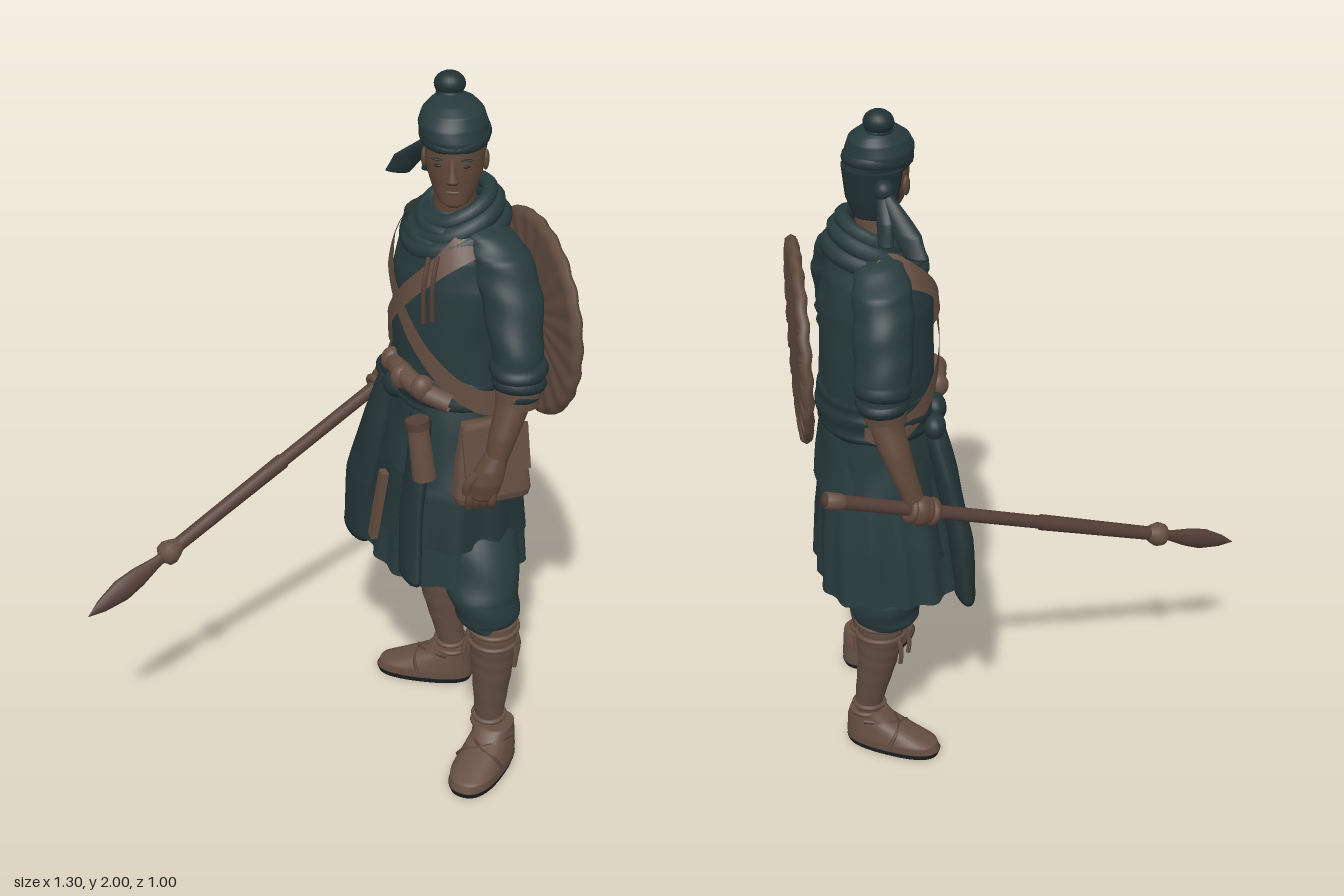
import * as THREE from 'three';

const mat = (name, color, side = THREE.FrontSide) => Object.assign(new THREE.MeshStandardMaterial({ color, side }), { name });

export function createModel() {
  const root = new THREE.Group();
  const D = THREE.DoubleSide;
  const cloth = mat('dark teal cloth', 0x283a3c, D), deep = mat('deep teal cloth', 0x243436, D);
  const leather = mat('brown leather', 0x644e42, D), wrap = mat('leg wrap', 0x604c41);
  const skin = mat('skin', 0x5f473a), wood = mat('spear wood', 0x543f36);
  const shieldMat = mat('shield hide', 0x624d41), hair = mat('hair', 0x203032), dark = mat('dark sole', 0x1e1f20);

  const add = (name, geo, m, parent = root, pos = [0, 0, 0], rot = [0, 0, 0], scale = [1, 1, 1]) => {
    const mesh = new THREE.Mesh(geo, m);
    mesh.name = name;
    mesh.position.set(...pos); mesh.rotation.set(...rot); mesh.scale.set(...scale);
    parent.add(mesh);
    return mesh;
  };
  const ball = (name, m, parent, pos, r, scale, rot) =>
    add(name, new THREE.SphereGeometry(r, 20, 14), m, parent, pos, rot, scale);
  const ring = (name, m, parent, pos, r, t, tilt = 0, scale = [1, 1, 1]) =>
    add(name, new THREE.TorusGeometry(r, t, 8, 28), m, parent, pos, [Math.PI / 2 + tilt, 0, 0], scale);
  const rope = (name, m, parent, pts, r) =>
    add(name, new THREE.TubeGeometry(new THREE.CatmullRomCurve3(pts.map(p => new THREE.Vector3(...p))), 20, r, 8), m, parent);

  // Skin over stacked ellipses [y, x, z, rx, rz], bottom to top; fold(a, t) scales the radius
  function loft(name, m, sections, parent = root, { rows = 24, seg = 40, fold = () => 1, open = false } = {}) {
    const n = sections.length - 1, pos = [], idx = [];
    for (let i = 0; i <= rows; i++) {
      const t = i / rows, k = Math.min(n - 1, Math.floor(t * n)), f = t * n - k;
      const [y, x, z, rx, rz] = sections[k].map((v, q) => THREE.MathUtils.lerp(v, sections[k + 1][q], f));
      for (let j = 0; j < seg; j++) {
        const a = j / seg * Math.PI * 2, s = fold(a, t);
        pos.push(x + rx * s * Math.sin(a), y, z + rz * s * Math.cos(a));
        if (i < rows) {
          const p = i * seg + j, q = i * seg + (j + 1) % seg;
          idx.push(p, q, q + seg, p, q + seg, p + seg);
        }
      }
    }
    if (!open) {
      const lo = pos.length / 3, a = sections[0], b = sections[n];
      pos.push(a[1], a[0], a[2], b[1], b[0], b[2]);
      for (let j = 0; j < seg; j++) {
        const j2 = (j + 1) % seg;
        idx.push(lo, j2, j, lo + 1, rows * seg + j, rows * seg + j2);
      }
    }
    const g = new THREE.BufferGeometry();
    g.setAttribute('position', new THREE.Float32BufferAttribute(pos, 3));
    g.setIndex(idx);
    g.computeVertexNormals();
    return add(name, g, m, parent);
  }
  const square = (a, e) => Math.pow(Math.abs(Math.sin(a)) ** e + Math.abs(Math.cos(a)) ** e, -1 / e);
  const creases = (k, amp) => ({ rows: 40, fold: (a, t) => 1 + amp * Math.sin(k * t + 2 * Math.sin(a)) + amp * 0.5 * Math.sin(3 * a + 9 * t) });
  const pleats = (n, amp) => ({ rows: 24, seg: 120, open: true, fold: (a, t) => square(a, 2.6) * (1 + amp * (1 - t) * (Math.sin(n * a) + 0.5 * Math.sin(5 * a + 1))) });

  // Turned body: jacket, skirt, belt and gear
  const body = new THREE.Group();
  body.name = 'body';
  body.position.set(0.295, 0, -0.04);
  body.rotation.y = -1.05;
  root.add(body);
  const torso = [[0.88, 0.015, 0.018, 0.25, 0.187], [1.0, 0.01, 0.015, 0.222, 0.17], [1.12, 0.003, 0.015, 0.197, 0.16], [1.3, 0, 0.02, 0.2, 0.16],
    [1.45, 0, 0.02, 0.205, 0.157], [1.54, 0, 0.02, 0.185, 0.135], [1.6, 0, 0.02, 0.135, 0.105], [1.64, 0.005, 0.02, 0.08, 0.075]];
  loft('jacket', cloth, torso, body, { rows: 49, seg: 64, open: true, fold: (a, t) => 1 + 0.01 * Math.sin(26 * t + 3 * Math.sin(a * 2)) + 0.018 * (1 - t) * Math.sin(9 * a) });
  loft('skirt', cloth, [[0.58, 0, 0.035, 0.262, 0.21], [0.75, 0, 0.028, 0.242, 0.195], [0.9, 0, 0.018, 0.215, 0.17], [1.05, 0, 0.01, 0.18, 0.145]], body, pleats(16, 0.035));
  loft('overskirt', deep, [[0.7, 0.015, 0.035, 0.252, 0.202], [0.85, 0.012, 0.025, 0.23, 0.183], [1.0, 0, 0.015, 0.192, 0.155]], body, pleats(11, 0.03));
  loft('waistSash', deep, [[1.08, 0, 0.015, 0.2, 0.165], [1.11, 0, 0.015, 0.207, 0.172], [1.16, 0, 0.015, 0.207, 0.172], [1.2, 0, 0.015, 0.198, 0.162]], body, creases(16, 0.015));
  loft('sashTail', deep, [[0.56, -0.17, 0.24, 0.085, 0.03], [0.75, -0.155, 0.228, 0.085, 0.035], [0.95, -0.13, 0.192, 0.065, 0.035], [1.1, -0.1, 0.16, 0.04, 0.03]], body, creases(10, 0.05));
  loft('frontPanel', deep, [[0.61, 0.19, 0.21, 0.07, 0.022], [0.8, 0.155, 0.19, 0.062, 0.025], [1.08, 0.11, 0.15, 0.05, 0.025]], body, creases(8, 0.04));
  for (let i = 0; i < 3; i++) ball('sashKnot', deep, body, [-0.13 + i * 0.05, 1.1 + (i % 2) * 0.035, 0.16 + i * 0.008], 0.042, [1.1, 0.9, 0.8]);

  // Crossing ribbons over the front of the jacket
  function strap(name, phase, off) {
    const pos = [], idx = [], N = 48;
    for (let j = 0; j <= N; j++) {
      const a = THREE.MathUtils.lerp(-1.9, 1.9, j / N), y0 = 1.36 + 0.23 * Math.cos(a - phase);
      for (const y of [y0 - 0.036, y0 + 0.036]) {
        const k = Math.max(0, torso.findIndex((s, i) => i + 1 < torso.length && y <= torso[i + 1][0]));
        const f = (y - torso[k][0]) / (torso[k + 1][0] - torso[k][0]), mix = q => THREE.MathUtils.lerp(torso[k][q], torso[k + 1][q], f);
        pos.push(mix(1) + (mix(3) + off) * Math.sin(a), y, mix(2) + (mix(4) + off) * Math.cos(a));
      }
      if (j < N) idx.push(2 * j, 2 * j + 2, 2 * j + 3, 2 * j, 2 * j + 3, 2 * j + 1);
    }
    const g = new THREE.BufferGeometry();
    g.setAttribute('position', new THREE.Float32BufferAttribute(pos, 3));
    g.setIndex(idx);
    g.computeVertexNormals();
    add(name, g, leather, body);
  }
  strap('leftStrap', 1.6, 0.014);
  strap('rightStrap', -1.3, 0.018);

  // Belt gear
  rope('beltRoll', leather, body, [[-0.03, 1.17, 0.18], [0.05, 1.185, 0.19], [0.14, 1.165, 0.165], [0.2, 1.14, 0.1]], 0.028);
  for (const [x, z] of [[-0.035, 0.183], [0.07, 0.193], [0.15, 0.165]]) ball('beltKnot', leather, body, [x, 1.175, z], 0.036, [0.8, 1, 0.9]);
  add('flask', new THREE.CylinderGeometry(0.029, 0.033, 0.16, 16), leather, body, [0.19, 1.0, 0.18], [0.1, 0, 0.1]);
  add('flaskCap', new THREE.CylinderGeometry(0.033, 0.033, 0.025, 16), wood, body, [0.182, 1.085, 0.188], [0.1, 0, 0.1]);
  add('knifeSheath', new THREE.BoxGeometry(0.03, 0.22, 0.02), leather, body, [0.04, 0.76, 0.248], [-0.12, 0, -0.08]);
  const satchel = new THREE.Group();
  satchel.name = 'satchel';
  satchel.position.set(0.25, 0.985, 0);
  satchel.rotation.z = 0.12;
  body.add(satchel);
  loft('satchelBag', leather, [[-0.12, 0, 0, 0.036, 0.104], [-0.1, 0, 0, 0.043, 0.11], [0, 0, 0, 0.038, 0.1], [0.11, 0, 0, 0.023, 0.081]], satchel, { fold: a => square(a, 4) });
  add('satchelFlap', new THREE.BoxGeometry(0.009, 0.13, 0.19), wrap, satchel, [0.042, 0.035, 0], [0, 0, 0.14]);
  for (const z of [0.12, 0.145]) rope('chestCord', wood, body, [[0.13, 1.55, z], [0.15, 1.48, z + 0.02], [0.15, 1.37, z + 0.02]], 0.007);

  // Round shield with a pleated rim
  const shield = new THREE.Group();
  shield.name = 'shield';
  shield.position.set(0.052, 1.305, -0.195);
  shield.rotation.x = -Math.PI / 2;
  shield.scale.x = 1.09;
  body.add(shield);
  const disc = new THREE.LatheGeometry([[0, -0.01], [0.26, -0.018], [0.28, -0.013], [0.287, 0], [0.28, 0.012], [0.25, 0.015], [0.2, 0.015], [0, 0.018]].map(p => new THREE.Vector2(...p)), 132);
  const dp = disc.attributes.position;
  for (let i = 0; i < dp.count; i++) {
    const x = dp.getX(i), z = dp.getZ(i), r = Math.hypot(x, z), a = Math.atan2(z, x);
    if (r > 0.22) dp.setY(i, dp.getY(i) + 0.0025 * Math.sin(22 * a));
  }
  disc.computeVertexNormals();
  add('shieldDisc', disc, shieldMat, shield);
  for (let i = 0; i < 22; i++) {
    const a = i / 22 * Math.PI * 2;
    ball('rimPleat', shieldMat, shield, [0.245 * Math.cos(a), 0.011, 0.245 * Math.sin(a)], 0.01, [3.6, 0.6, 0.7], [0, -a + 0.2, 0]);
  }

  // Neck scarf, high at the nape and low in front
  loft('scarf', cloth, [[1.52, 0, 0.035, 0.14, 0.125], [1.56, 0.005, 0.03, 0.145, 0.13], [1.6, 0.01, 0.022, 0.125, 0.115], [1.635, 0.01, 0.015, 0.095, 0.09]], body, creases(18, 0.03));
  [[1.575, 0.128, 0.028, 0.3], [1.61, 0.113, 0.027, 0.42], [1.645, 0.096, 0.022, 0.45]].forEach(([y, r, t, tilt]) => ring('scarfFold', cloth, body, [0.01, y, 0.022], r, t, tilt));

  // Head, facing forwards
  const head = new THREE.Group();
  head.name = 'head';
  head.position.set(0.277, 0, 0.002);
  head.rotation.y = 0.06;
  root.add(head);
  loft('neck', skin, [[1.58, 0, -0.03, 0.06, 0.062], [1.73, 0, -0.01, 0.055, 0.058]], head);
  loft('face', skin, [[1.672, 0.005, 0.07, 0.02, 0.025], [1.682, 0.005, 0.06, 0.04, 0.045], [1.715, 0.004, 0.037, 0.06, 0.068], [1.755, 0.002, 0.02, 0.074, 0.088], [1.8, 0, 0.012, 0.08, 0.097], [1.85, 0, 0.005, 0.08, 0.099], [1.9, 0, 0, 0.06, 0.08]], head, { rows: 30 });
  loft('nose', skin, [[1.744, 0.003, 0.108, 0.014, 0.012], [1.753, 0.003, 0.112, 0.017, 0.016], [1.775, 0.002, 0.108, 0.01, 0.012], [1.81, 0, 0.1, 0.008, 0.009]], head, { seg: 16 });
  ball('lips', leather, head, [0.004, 1.718, 0.099], 0.02, [1.1, 0.35, 0.4]);
  for (const s of [-1, 1]) {
    ball('ear', skin, head, [s * 0.081, 1.775, 0.0], 0.026, [0.35, 1.1, 0.7]);
    ball('eye', dark, head, [s * 0.034, 1.79, 0.097], 0.011, [1.2, 0.35, 0.5]);
    ball('brow', hair, head, [s * 0.036, 1.808, 0.099], 0.018, [1.1, 0.18, 0.4], [0, 0, s * 0.1]);
  }
  loft('hair', hair, [[1.7, 0, -0.055, 0.05, 0.035], [1.75, 0, -0.048, 0.074, 0.052], [1.84, 0, -0.04, 0.086, 0.066]], head);
  loft('headWrap', cloth, [[1.826, -0.002, 0.003, 0.085, 0.102], [1.85, -0.004, 0.002, 0.092, 0.106], [1.88, -0.007, -0.002, 0.092, 0.104], [1.91, -0.009, -0.008, 0.081, 0.092], [1.93, -0.011, -0.016, 0.06, 0.069], [1.945, -0.016, -0.03, 0.028, 0.032]], head, creases(9, 0.015));
  ring('headBand', deep, head, [-0.002, 1.85, -0.002], 0.086, 0.01, 0.16, [1, 1.18, 1.6]);
  ball('bun', hair, head, [-0.022, 1.964, -0.042], 0.039, [1.08, 0.88, 1]);
  ring('bunTie', deep, head, [-0.021, 1.94, -0.037], 0.028, 0.01);
  ball('bandKnot', deep, root, [0.215, 1.8, -0.1], 0.028);
  loft('bandTailLong', deep, [[1.655, 0.095, -0.17, 0.034, 0.016], [1.71, 0.13, -0.15, 0.042, 0.018], [1.76, 0.18, -0.12, 0.028, 0.016], [1.8, 0.215, -0.1, 0.018, 0.014]], root, creases(6, 0.05));
  loft('bandTailShort', deep, [[1.67, 0.185, -0.16, 0.022, 0.014], [1.73, 0.195, -0.14, 0.026, 0.016], [1.8, 0.215, -0.1, 0.018, 0.014]], root, creases(6, 0.05));

  // Arms
  const sleeve = creases(34, 0.025);
  loft('leftSleeve', cloth, [[1.2, 0.492, 0.205, 0.056, 0.06], [1.32, 0.478, 0.17, 0.07, 0.074], [1.45, 0.45, 0.115, 0.084, 0.08], [1.55, 0.412, 0.08, 0.084, 0.08], [1.6, 0.365, 0.045, 0.068, 0.065], [1.64, 0.31, 0.01, 0.035, 0.035]], root, sleeve);
  loft('rightSleeve', cloth, [[1.24, 0.16, -0.265, 0.064, 0.066], [1.32, 0.163, -0.25, 0.077, 0.08], [1.45, 0.177, -0.21, 0.083, 0.082], [1.55, 0.197, -0.17, 0.08, 0.08], [1.6, 0.225, -0.115, 0.064, 0.064], [1.64, 0.26, -0.06, 0.035, 0.035]], root, sleeve);
  for (const [x, z, y, side] of [[0.49, 0.198, 1.235, 'left'], [0.16, -0.265, 1.265, 'right']]) {
    ring(side + 'SleeveRoll', deep, root, [x - 0.003, y + 0.04, z - 0.005], 0.057, 0.023, 0.15);
    ring(side + 'SleeveRoll', deep, root, [x, y, z], 0.055, 0.02, -0.1);
    loft(side + 'Cuff', leather, [[y - 0.06, x - 0.003, z + 0.008, 0.058, 0.058], [y - 0.01, x, z + 0.002, 0.064, 0.064]], root, { open: true });
  }
  loft('leftForearm', skin, [[1.03, 0.445, 0.268, 0.031, 0.034], [1.1, 0.46, 0.25, 0.04, 0.042], [1.2, 0.485, 0.212, 0.048, 0.048], [1.27, 0.49, 0.2, 0.048, 0.048]]);
  loft('rightForearm', skin, [[0.97, 0.06, -0.285, 0.028, 0.032], [1.05, 0.088, -0.29, 0.034, 0.037], [1.13, 0.12, -0.285, 0.043, 0.043], [1.2, 0.15, -0.27, 0.048, 0.048], [1.27, 0.16, -0.26, 0.048, 0.048]]);
  loft('leftHand', skin, [[0.92, 0.412, 0.284, 0.038, 0.027], [0.97, 0.42, 0.286, 0.047, 0.034], [1.01, 0.433, 0.279, 0.04, 0.035], [1.05, 0.447, 0.266, 0.031, 0.033]]);
  for (let i = 0; i < 4; i++) {
    const x = 0.383 + i * 0.02;
    rope('leftFinger', skin, root, [[x, 0.95, 0.294], [x - 0.003, 0.915, 0.296], [x - 0.006, 0.885 + 0.004 * i, 0.282]], 0.012);
  }
  rope('leftThumb', skin, root, [[0.4, 1.0, 0.297], [0.375, 0.965, 0.307], [0.372, 0.935, 0.302]], 0.013);

  // Spear, built along +y from its tip
  const spear = new THREE.Group();
  spear.name = 'spear';
  const axis = new THREE.Vector3(0.89, 0.53, -0.99), len = axis.length();
  spear.position.set(-0.65, 0.535, 0.5);
  spear.quaternion.setFromUnitVectors(new THREE.Vector3(0, 1, 0), axis.normalize());
  root.add(spear);
  const turned = (name, m, pts, seg = 16, scale) => add(name, new THREE.LatheGeometry(pts.map(p => new THREE.Vector2(...p)), seg), m, spear, [0, 0, 0], [0, 0.6, 0], scale);
  turned('spearBlade', wood, [[0, 0], [0.02, 0.05], [0.034, 0.12], [0.03, 0.18], [0.017, 0.25], [0.016, 0.31]], 12, [1, 1, 0.65]);
  turned('spearCollar', leather, [[0.016, 0.265], [0.032, 0.275], [0.036, 0.295], [0.028, 0.315], [0.02, 0.33]]);
  turned('spearShaft', wood, [[0.02, 0.3], [0.022, 0.6], [0.023, 0.72], [0.019, 0.725], [0.02, len], [0, len]]);
  turned('buttCap', leather, [[0.02, len - 0.06], [0.023, len - 0.05], [0.023, len - 0.005], [0, len - 0.004]]);
  for (let i = 0; i < 4; i++) ring('rightFinger', skin, spear, [0, len * 0.76 + i * 0.023, 0], 0.028, 0.0125);
  ball('rightPalm', skin, root, [0.047, 0.955, -0.288], 0.04, [0.9, 1.1, 0.9]);

  // Legs
  loft('leftTrouser', cloth, [[0.44, 0.44, 0.19, 0.066, 0.066], [0.48, 0.425, 0.182, 0.09, 0.094], [0.56, 0.41, 0.17, 0.102, 0.108], [0.7, 0.375, 0.1, 0.122, 0.115], [0.85, 0.32, 0.02, 0.13, 0.12]], root, creases(20, 0.035));
  loft('rightTrouser', cloth, [[0.44, 0.235, -0.145, 0.072, 0.066], [0.48, 0.222, -0.14, 0.099, 0.096], [0.56, 0.215, -0.135, 0.108, 0.107], [0.7, 0.235, -0.1, 0.12, 0.115], [0.85, 0.265, -0.05, 0.13, 0.12]], root, creases(20, 0.035));
  const legs = [['left', [0.445, 0.445, 0.448, 0.448, 0.448], 0.2, [0.483, 0, 0.15], -0.3, 1.15], ['right', [0.285, 0.28, 0.25, 0.236, 0.235], -0.152, [0.347, 0, -0.154], -Math.PI / 2, 1]];
  for (const [side, xs, z, heel, turn, wide] of legs) {
    const ys = [0.08, 0.15, 0.3, 0.4, 0.47], rs = [0.042, 0.042, 0.058, 0.068, 0.066];
    loft(side + 'Gaiter', wrap, ys.map((y, i) => [y, xs[i], z, rs[i], rs[i]]), root, { rows: 60, fold: (a, t) => 1 + 0.012 * Math.sin(55 * t + a) });
    for (const [k, y, r] of [[4, 0.45, 0.068], [3, 0.41, 0.068], [1, 0.14, 0.044], [0, 0.115, 0.046]])
      ring(side + 'LegCord', leather, root, [xs[k], y, z], r, 0.008, 0.1);
    for (const dx of [-1, 0.9]) for (let i = 0; i < 2; i++)
      rope(side + 'Tassel', leather, root, [[xs[3] + dx * 0.068, 0.42, z + 0.025 * (i * 2 - 1)], [xs[3] + dx * 0.078, 0.38, z + 0.03 * (i * 2 - 1)], [xs[3] + dx * 0.074, 0.335, z + 0.03 * (i * 2 - 1)]], 0.007);

    // Shoe, toe along local +z
    const shoe = new THREE.Group();
    shoe.name = side + 'Shoe';
    shoe.position.set(...heel);
    shoe.rotation.y = turn;
    shoe.scale.x = wide;
    root.add(shoe);
    const bulge = { fold: a => 1 + 0.28 * Math.cos(a) ** 2 * Math.sin(a) ** 2 };
    loft('sole', dark, [[0, 0, 0.145, 0.058, 0.143], [0.016, 0, 0.145, 0.062, 0.149]], shoe, bulge);
    loft('shoeUpper', leather, [[0.014, 0, 0.145, 0.061, 0.148], [0.04, 0, 0.14, 0.061, 0.143], [0.068, 0, 0.107, 0.054, 0.108], [0.095, 0, 0.075, 0.048, 0.074], [0.125, 0, 0.063, 0.046, 0.053]], shoe, bulge);
    for (const s of [-1, 1]) rope('shoeTie', wood, shoe, [[s * 0.05, 0.1, 0.07], [s * 0.03, 0.095, 0.125], [0, 0.085, 0.16], [-s * 0.04, 0.07, 0.17], [-s * 0.061, 0.04, 0.16]], 0.007);
  }
  return root;
}
